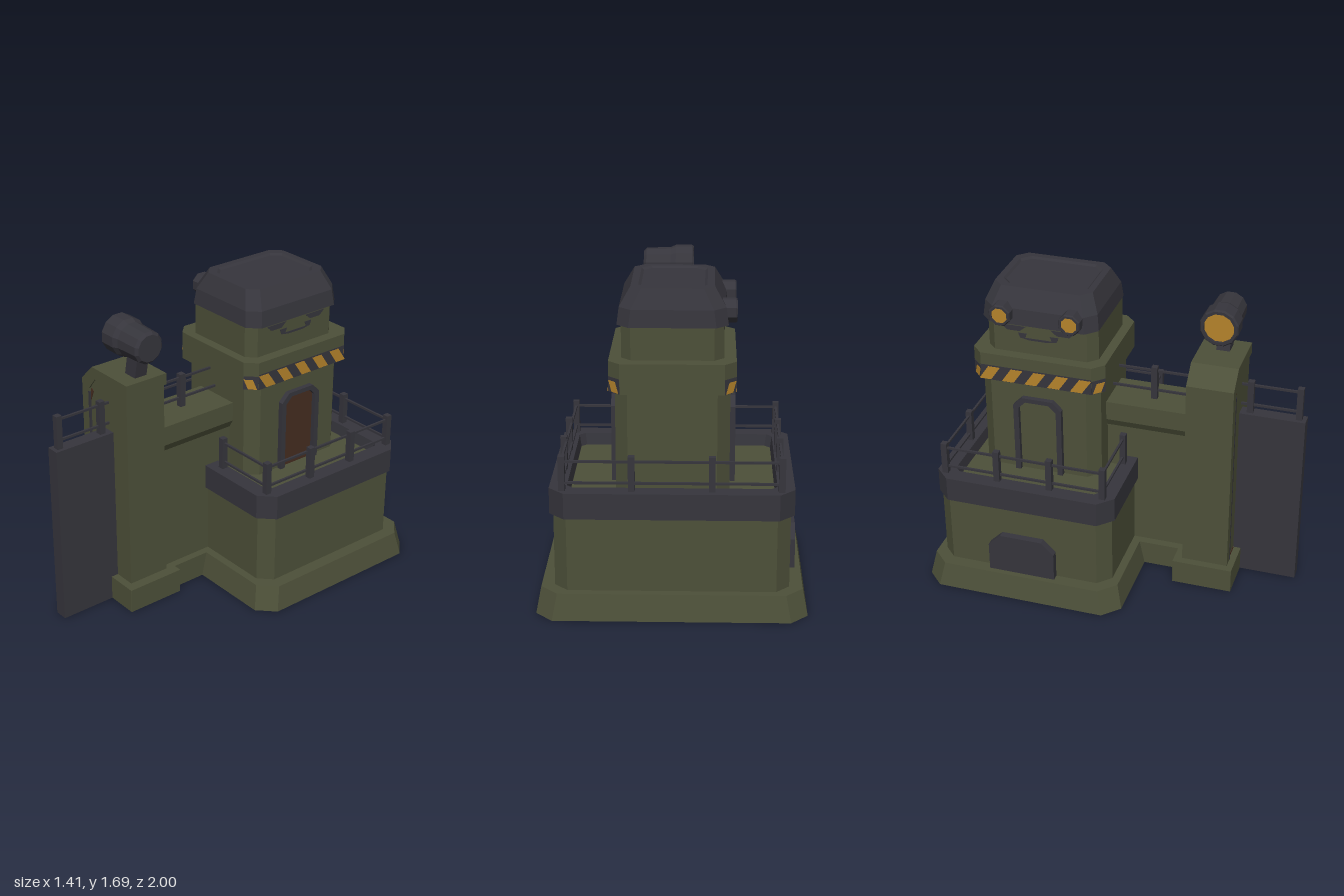
import * as THREE from 'three';

const mat = (name, color) => {
  const m = new THREE.MeshStandardMaterial({ color });
  m.name = name;
  return m;
};

export function createModel() {
  const root = new THREE.Group();
  const green = mat('olive green', 0x4d5039);
  const dark = mat('dark grey', 0x36353c);
  const brown = mat('rust brown', 0x452c20);
  const amber = mat('amber', 0xb5832b);
  const CZ = -0.43; // centre of the tower in z

  const add = (name, geo, m, x = 0, y = 0, z = 0, parent = root) => {
    const mesh = new THREE.Mesh(geo, m);
    mesh.name = name;
    mesh.position.set(x, y, z);
    parent.add(mesh);
    return mesh;
  };
  // box given by its limits
  const box = (name, m, x0, x1, y0, y1, z0, z1, parent) =>
    add(name, new THREE.BoxGeometry(x1 - x0, y1 - y0, z1 - z0), m,
      (x0 + x1) / 2, (y0 + y1) / 2, (z0 + z1) / 2, parent);

  // skin over chamfered rectangles; each ring is [y, halfX, halfZ, chamfer]
  const loft = (rings, bottom, top) => {
    const loops = rings.map(([y, a, b, c]) => [
      [a, y, b - c], [a, y, c - b], [a - c, y, -b], [c - a, y, -b],
      [-a, y, c - b], [-a, y, b - c], [c - a, y, b], [a - c, y, b]]);
    const pos = [];
    const tri = (...p) => p.forEach((v) => pos.push(...v));
    for (let i = 0; i + 1 < loops.length; i++) {
      for (let j = 0; j < 8; j++) {
        const k = (j + 1) % 8, A = loops[i], B = loops[i + 1];
        tri(A[j], A[k], B[k]);
        tri(A[j], B[k], B[j]);
      }
    }
    const last = loops[loops.length - 1];
    for (let j = 1; j < 7; j++) {
      if (bottom) tri(loops[0][0], loops[0][j + 1], loops[0][j]);
      if (top) tri(last[0], last[j], last[j + 1]);
    }
    const g = new THREE.BufferGeometry();
    g.setAttribute('position', new THREE.Float32BufferAttribute(pos, 3));
    g.computeVertexNormals();
    return g;
  };

  const extrude = (points, depth, holes = []) => {
    const shape = new THREE.Shape(points.map((p) => new THREE.Vector2(...p)));
    holes.forEach((h) => shape.holes.push(new THREE.Path(h.map((p) => new THREE.Vector2(...p)))));
    return new THREE.ExtrudeGeometry(shape, { depth, bevelEnabled: false });
  };

  // faceted lamp pointing to the right, lens recessed inside its rim
  const lampUnit = (name, profile, sides, lensR, lensY, x, y, z) => {
    const lamp = new THREE.Group();
    lamp.name = name;
    lamp.position.set(x, y, z);
    lamp.rotation.z = Math.PI / 2;
    root.add(lamp);
    const turn = Math.PI / sides;
    const g = new THREE.LatheGeometry(profile.map((p) => new THREE.Vector2(...p)), sides).rotateY(turn).toNonIndexed();
    g.computeVertexNormals();
    add('lampHousing', g, dark, 0, 0, 0, lamp);
    add('lampLens', new THREE.CylinderGeometry(lensR, lensR, 0.006, sides).rotateY(turn), amber, 0, lensY, 0, lamp);
  };

  // lower building on a hollow, thin-walled skirt
  add('baseSkirt', loft([[0.138, 0.625, 0.495, 0.08], [0, 0.69, 0.553, 0.088], [0, 0.707, 0.57, 0.09],
    [0.14, 0.68, 0.54, 0.09], [0.14, 0.6, 0.48, 0.07]], true), green, 0, 0, CZ);
  box('underPlate', dark, -0.28, 0.28, 0.134, 0.14, CZ - 0.25, CZ + 0.25);
  add('lowerBody', loft([[0.139, 0.61, 0.495, 0.07], [0.56, 0.61, 0.495, 0.07]]), green, 0, 0, CZ);
  add('parapet', loft([[0.54, 0.6, 0.48, 0.07], [0.54, 0.63, 0.511, 0.08], [0.68, 0.63, 0.511, 0.08],
    [0.68, 0.54, 0.42, 0.03], [0.61, 0.53, 0.41, 0.03]]), dark, 0, 0, CZ + 0.003);
  add('balconyFloor', loft([[0.6, 0.535, 0.415, 0.03], [0.615, 0.535, 0.415, 0.03]], false, true), green, 0, 0, CZ);

  // tower stack
  add('towerBody', loft([[0.61, 0.295, 0.338, 0.065], [1.17, 0.295, 0.338, 0.065]]), green, 0, 0, CZ);
  add('towerBand', loft([[1.165, 0.28, 0.32, 0.06], [1.165, 0.325, 0.375, 0.06],
    [1.325, 0.325, 0.375, 0.06], [1.325, 0.25, 0.3, 0.05]]), green, 0, 0, CZ);
  add('towerNeck', loft([[1.32, 0.262, 0.313, 0.05], [1.51, 0.262, 0.313, 0.05]]), green, 0, 0, CZ + 0.01);
  // roof cap: steep lower band, then a bevel up to a sunken panel
  add('roofCap', loft([[1.5, 0.24, 0.29, 0.05], [1.5, 0.283, 0.327, 0.062], [1.59, 0.271, 0.317, 0.062],
    [1.69, 0.213, 0.275, 0.055], [1.69, 0.175, 0.24, 0.05], [1.68, 0.162, 0.228, 0.045]], false, true),
  dark, 0, 0, CZ);

  // amber lamps on the roof
  const roofProfile = [[0.001, -0.05], [0.064, -0.05], [0.064, 0.034], [0.058, 0.042], [0.046, 0.042], [0.046, 0.03]];
  for (const z of [-0.625, -0.235]) lampUnit('roofLamp', roofProfile, 8, 0.047, 0.032, -0.285, 1.562, z);

  // side details, mirrored on both sides of the tower
  const arch = (w, h, c) => [[-w, 0], [w, 0], [w, h - c], [w - c, h], [c - w, h], [-w, h - c]];
  for (const s of [1, -1]) {
    const side = new THREE.Group();
    side.name = s > 0 ? 'leftSideDetails' : 'rightSideDetails';
    side.position.set(s * 0.29, 0, CZ);
    side.rotation.y = s * Math.PI / 2;
    root.add(side);
    // local x runs along the wall, local z points outwards
    add('doorFrame', extrude(arch(0.138, 0.465, 0.05), 0.035, [arch(0.108, 0.44, 0.04).reverse()]), dark, 0, 0.612, 0, side);
    add('doorPanel', extrude(arch(0.109, 0.441, 0.04), 0.009), s > 0 ? brown : green, 0, 0.612, 0, side);
    // hazard stripes along the lower half of the band
    const slant = (x, w, k, top) => extrude([[x - w + s * k, 1.168], [x + w + s * k, 1.168],
      [x + w - s * k, top], [x - w - s * k, top]], 0.0025);
    box('hazardStrip', dark, -0.315, 0.315, 1.166, 1.255, 0.034, 0.0362, side);
    for (let i = 0; i < 5; i++) {
      add('hazardStripe', slant(s * (-0.255 + i * 0.13), 0.034, 0.027, 1.247), amber, 0, 0, 0.035, side);
    }
    // stripes continue over the chamfered corners
    for (const e of [1, -1]) {
      const corner = new THREE.Group();
      corner.name = 'cornerHazard';
      corner.position.set(e * 0.345, 0, 0.005);
      corner.rotation.y = e * Math.PI / 4;
      side.add(corner);
      box('cornerStrip', dark, -0.042, 0.042, 1.166, 1.245, -0.002, 0.001, corner);
      add('cornerStripe', slant(s * -0.003, 0.025, 0.012, 1.225), amber, 0, 0, -0.0005, corner);
    }
    // worn paint marks on the neck
    const marks = [[-0.14, 1.475, 0.07, 0.02], [0.14, 1.475, 0.07, 0.02], [0, 1.415, 0.11, 0.008],
      [-0.09, 1.435, 0.025, 0.02], [0.09, 1.435, 0.025, 0.02]];
    for (const [x, y, w, h] of marks) {
      add('paintMark', extrude([[x - w, y + h / 2], [x - w / 2, y - h], [x + w / 2, y - h], [x + w, y + h / 2]], 0.004),
        dark, 0, 0, -0.03, side);
    }
  }

  // hatch low on the right wall
  add('lowerHatch', extrude(arch(0.19, 0.235, 0.07), 0.045), dark, -0.605, 0.138, CZ).rotation.y = -Math.PI / 2;

  // balcony railing
  const rail = new THREE.Group();
  rail.name = 'balconyRailing';
  root.add(rail);
  const R = 0.56, zf = 0.02, zb = -0.885, p = 0.017;
  const posts = [];
  for (const s of [1, -1]) {
    for (let i = 0; i < 4; i++) {
      const bulge = s > 0 && (i === 1 || i === 2) ? 0.014 : 0;
      posts.push([s * R + bulge, zf + (zb - zf) * i / 3]);
    }
    posts.push([s * 0.19, zf], [s * 0.205, zb]);
  }
  posts.forEach(([x, z]) => box('railPost', dark, x - p, x + p, 0.67, 0.865, z - p, z + p, rail));
  for (const y of [0.72, 0.835]) {
    const h = 0.006;
    box('backRail', dark, -R, R, y - h, y + h, zb - h, zb + h, rail);
    for (const s of [1, -1]) {
      box('sideRail', dark, s * R - h, s * R + h, y - h, y + h, zb, zf, rail);
      const lo = Math.min(s * 0.19, s * R), hi = Math.max(s * 0.19, s * R);
      box('frontRail', dark, lo, hi, y - h, y + h, zf - h, zf + h, rail);
    }
  }

  // bridge wall from tower to pylon: narrow below, wider walkway above
  const wall = extrude([[-0.115, 0.139], [0.115, 0.139], [0.115, 0.87], [0.14, 0.915], [0.14, 1.025],
    [-0.14, 1.025], [-0.14, 0.915], [-0.115, 0.87]], 0.52);
  add('bridgeWall', wall, green, -0.003, 0, -0.11);
  const foot = (hx, hz) => loft([[0.138, hx - 0.015, hz - 0.015, 0.002], [0, hx - 0.015, hz - 0.015, 0.002],
    [0, hx, hz, 0.002], [0.14, hx, hz, 0.002]], true, true);
  add('bridgeFoot', foot(0.16, 0.14), green, -0.005, 0, 0.225);

  // pylon with its folded trim
  add('pylonFoot', foot(0.247, 0.17), green, -0.043, 0, 0.51);
  add('pylonColumn', extrude([[-0.18, 0.139], [0.145, 0.139], [0.145, 1.3], [-0.12, 1.3], [-0.18, 1.22]], 0.245), green, 0, 0, 0.392);
  add('pylonTrim', extrude([[0.16, 1.29], [0.16, 1.355], [-0.15, 1.355], [-0.245, 1.26], [-0.245, 0.14],
    [-0.182, 0.14], [-0.182, 1.22], [-0.125, 1.29]], 0.26), green, 0, 0, 0.385);
  box('trimSeam', dark, -0.19, -0.174, 0.14, 1.2, 0.638, 0.646);
  // rust at both ends of the seam
  add('rustTop', extrude([[-0.174, 1.15], [-0.15, 1.21], [-0.165, 1.225], [-0.174, 1.21]], 0.004), brown, 0, 0, 0.636);
  add('rustBottom', extrude([[-0.174, 0.14], [-0.06, 0.14], [-0.075, 0.153], [-0.15, 0.155], [-0.174, 0.17]], 0.004), brown, 0, 0, 0.636);

  // front fin with its own railing; its keel runs back under the building
  const fx = -0.018;
  box('frontFin', dark, fx - 0.038, fx + 0.038, 0, 1.03, 0.63, 1);
  box('finKeel', dark, fx - 0.036, fx + 0.036, 0.001, 0.139, -0.1, 0.64);
  for (const z of [0.96, 0.69, 0.15]) box('walkwayPost', dark, fx - p, fx + p, 1.02, 1.22, z - p, z + p);
  for (const y of [1.075, 1.195]) box('walkwayRail', dark, fx - 0.006, fx + 0.006, y - 0.006, y + 0.006, -0.09, 0.97);

  // searchlight on a leaning stem
  box('searchlightStem', dark, 0.035, 0.12, 1.34, 1.48, 0.478, 0.553).rotation.z = -0.2;
  lampUnit('searchlight', [[0.001, -0.195], [0.075, -0.195], [0.09, -0.18], [0.095, -0.04], [0.108, -0.01],
    [0.108, 0.082], [0.1, 0.092], [0.084, 0.092], [0.084, 0.07]], 12, 0.086, 0.074, 0, 1.544, 0.515);

  return root;
}
